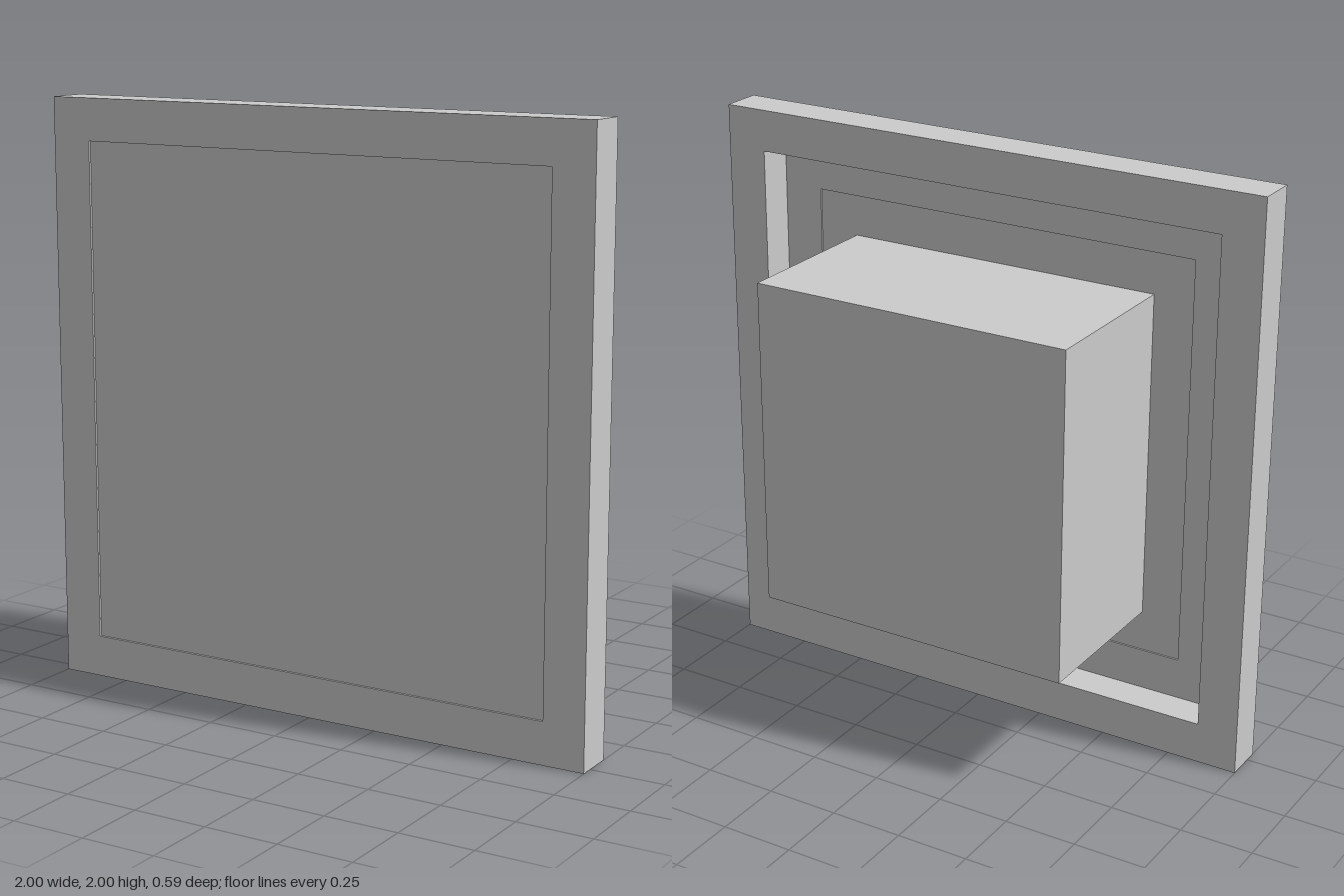
import * as THREE from 'three';

const material = new THREE.MeshStandardMaterial({ color: 0xcccccc, flatShading: true });

// Square ring standing upright, from zBack to zFront
function squareRing(name, outer, inner, zBack, zFront) {
  const square = (Type, h) => new Type([[-h, -h], [h, -h], [h, h], [-h, h]].map(([x, y]) => new THREE.Vector2(x, y)));
  const shape = square(THREE.Shape, outer);
  shape.holes.push(square(THREE.Path, inner));
  const geometry = new THREE.ExtrudeGeometry(shape, { depth: zFront - zBack, bevelEnabled: false });
  const mesh = new THREE.Mesh(geometry, material);
  mesh.name = name;
  mesh.position.set(0, 1, zBack);
  return mesh;
}

// Square block centred on the frame, from zBack to zFront
function squareBlock(name, half, zBack, zFront) {
  const mesh = new THREE.Mesh(new THREE.BoxGeometry(half * 2, half * 2, zFront - zBack), material);
  mesh.name = name;
  mesh.position.set(0, 1, (zBack + zFront) / 2);
  return mesh;
}

export function createModel() {
  const model = new THREE.Group();
  model.name = 'framedPanel';
  model.add(
    // Outer border, open at the back
    squareRing('frame', 1, 0.857, 0.152, 0.295),
    // Thin front sheet, set slightly into the border
    squareBlock('frontPanel', 0.857, 0.283, 0.287),
    // Low rim on the back of the sheet
    squareRing('backRim', 0.857, 0.714, 0.277, 0.283),
    // Housing projecting from the back
    squareBlock('rearHousing', 0.571, -0.295, 0.283),
  );
  return model;
}
